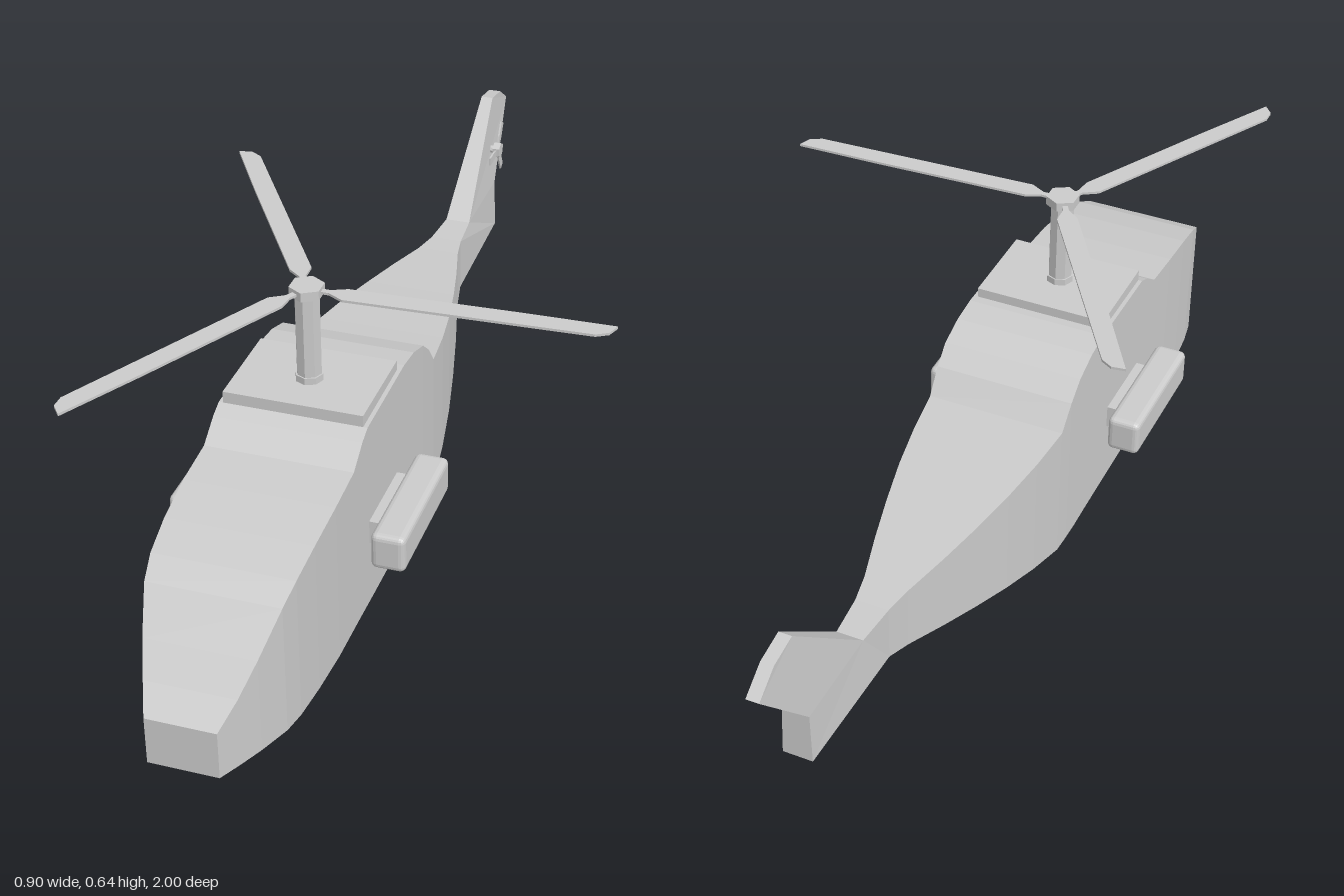
import * as THREE from 'three';
import { RoundedBoxGeometry } from 'three/addons/geometries/RoundedBoxGeometry.js';

const CX = -0.137; // centre line of the fuselage
const MAST_Z = 0.325;
const grey = new THREE.MeshStandardMaterial({ color: 0xcccccc, flatShading: true, side: THREE.DoubleSide });

function add(parent, name, geometry, x = 0, y = 0, z = 0) {
  const mesh = new THREE.Mesh(geometry, grey);
  mesh.name = name;
  mesh.position.set(x, y, z);
  parent.add(mesh);
  return mesh;
}

// Four-cornered sections from nose to tail:
// [top z, top y, top half width, bottom z, bottom y, bottom half width]
function loft(sections) {
  const positions = [], index = [];
  for (const [tz, ty, tw, bz, by, bw] of sections) {
    positions.push(-tw, ty, tz, tw, ty, tz, bw, by, bz, -bw, by, bz);
  }
  const last = (sections.length - 1) * 4;
  for (let r = 0; r < last; r += 4) {
    for (let i = 0; i < 4; i++) {
      const a = r + i, b = r + (i + 1) % 4;
      index.push(a, b, b + 4, a, b + 4, a + 4);
    }
  }
  index.push(0, 3, 2, 0, 2, 1, last, last + 1, last + 2, last, last + 2, last + 3);
  const geometry = new THREE.BufferGeometry();
  geometry.setAttribute('position', new THREE.Float32BufferAttribute(positions, 3));
  geometry.setIndex(index);
  geometry.computeVertexNormals();
  return geometry;
}

// Thin blade lying flat, reaching out along +x
function bladeGeometry(points, thickness) {
  const shape = new THREE.Shape(points.map(([x, y]) => new THREE.Vector2(x, y)));
  return new THREE.ExtrudeGeometry(shape, { depth: thickness, bevelEnabled: false })
    .translate(0, 0, -thickness / 2).rotateX(-Math.PI / 2);
}

export function createModel() {
  const model = new THREE.Group();
  model.name = 'helicopter';

  // Fuselage: upright sections [z, top, bottom, half width]
  const body = [
    [1.0, 0.14, 0.04, 0.068], [0.95, 0.18, 0.034, 0.088], [0.9, 0.23, 0.029, 0.107],
    [0.83, 0.297, 0.022, 0.129], [0.78, 0.322, 0.019, 0.137], [0.7, 0.342, 0.017, 0.143],
    [0.6, 0.357, 0.015, 0.147], [0.5, 0.366, 0.014, 0.147], [0.45, 0.4, 0.013, 0.147],
    [0.42, 0.413, 0.012, 0.147], [0.2, 0.417, 0.009, 0.147], [0.14, 0.41, 0.008, 0.147],
    [0.08, 0.39, 0.006, 0.147], [0.04, 0.357, 0.005, 0.146], [0.0, 0.31, 0.004, 0.144],
    [-0.1, 0.301, 0.028, 0.133], [-0.2, 0.293, 0.054, 0.117], [-0.3, 0.284, 0.08, 0.096],
    [-0.4, 0.276, 0.106, 0.072], [-0.5, 0.268, 0.132, 0.045], [-0.56, 0.265, 0.148, 0.034],
  ].map(([z, top, bottom, w]) => [z, top, w, z, bottom, w]);
  // Tail end turning up into the slanted fin
  const tail = [
    [-0.65, 0.265, 0.027, -0.86, 0.155, 0.03],
    [-0.65, 0.265, 0.027, -0.86, 0.265, 0.027],
    [-0.88, 0.47, 0.013, -1.0, 0.42, 0.013],
    [-0.945, 0.458, 0.013, -1.0, 0.42, 0.013],
  ];
  add(model, 'fuselage', loft([...body, ...tail]), CX);
  add(model, 'roofPlate', new THREE.BoxGeometry(0.277, 0.033, 0.2), CX, 0.4205, 0.32);

  // Side pods on short pylons
  for (const side of [-1, 1]) {
    const pod = new THREE.Group();
    pod.name = side > 0 ? 'leftPod' : 'rightPod';
    add(pod, 'podBody', new RoundedBoxGeometry(0.068, 0.078, 0.29, 2, 0.012), CX + side * 0.203, 0.179, 0.338);
    add(pod, 'podPylon', new THREE.BoxGeometry(0.06, 0.05, 0.17), CX + side * 0.155, 0.175, 0.335);
    model.add(pod);
  }

  // Mast and main rotor
  add(model, 'mastCollar', new THREE.CylinderGeometry(0.028, 0.028, 0.014, 8), CX, 0.444, MAST_Z);
  add(model, 'mast', new THREE.CylinderGeometry(0.025, 0.025, 0.19, 8), CX, 0.535, MAST_Z);
  const rotor = new THREE.Group();
  rotor.name = 'mainRotor';
  rotor.position.set(CX, 0.63, MAST_Z);
  add(rotor, 'rotorHub', new THREE.CylinderGeometry(0.034, 0.034, 0.019, 6));
  const blade = bladeGeometry([[0.02, -0.006], [0.045, -0.006], [0.075, -0.022], [0.545, -0.001],
    [0.568, 0.012], [0.578, 0.038], [0.4, 0.033], [0.075, 0.019], [0.045, 0.006], [0.02, 0.006]], 0.005);
  for (let i = 0; i < 3; i++) {
    add(rotor, 'rotorBlade', blade).rotation.y = i * Math.PI * 2 / 3;
  }
  model.add(rotor);

  // Tail rotor on the left face of the fin
  const tailRotor = new THREE.Group();
  tailRotor.name = 'tailRotor';
  tailRotor.position.set(-0.102, 0.353, -0.853);
  tailRotor.rotation.set(0, -Math.PI / 2, 0);
  add(tailRotor, 'tailRotorHub', new THREE.CylinderGeometry(0.018, 0.018, 0.016, 6)).rotation.x = Math.PI / 2;
  add(tailRotor, 'tailRotorShaft', new THREE.CylinderGeometry(0.009, 0.009, 0.04, 8), 0, 0, 0.012).rotation.x = Math.PI / 2;
  const tailBlade = bladeGeometry([[0.008, -0.004], [0.03, -0.009], [0.065, -0.009],
    [0.065, 0.009], [0.03, 0.009], [0.008, 0.004]], 0.004).rotateX(Math.PI / 2);
  for (let i = 0; i < 3; i++) {
    add(tailRotor, 'tailRotorBlade', tailBlade).rotation.z = i * Math.PI * 2 / 3;
  }
  model.add(tailRotor);

  return model;
}
